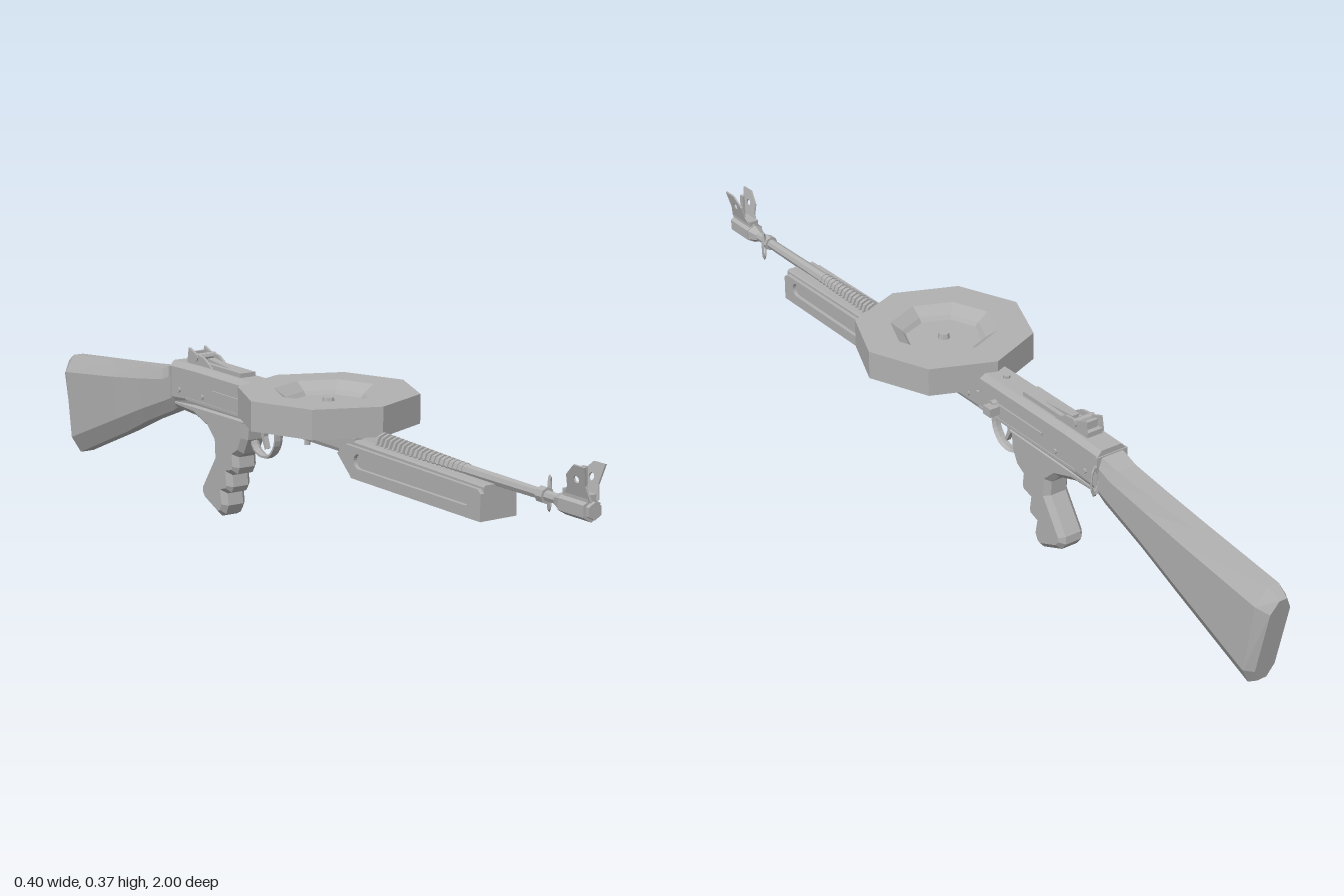
import * as THREE from 'three';

export function createModel() {
  const root = new THREE.Group();
  const grey = new THREE.MeshStandardMaterial({ color: 0xb0b0b0 });
  grey.name = 'plainGrey';

  // Adds a faceted mesh
  function add(name, geo, x = 0, y = 0, z = 0) {
    const g = geo.index ? geo.toNonIndexed() : geo;
    g.computeVertexNormals();
    const m = new THREE.Mesh(g, grey);
    m.name = name;
    m.position.set(x, y, z);
    root.add(m);
    return m;
  }
  const box = (name, w, h, d, x, y, z) => add(name, new THREE.BoxGeometry(w, h, d), x, y, z);
  const rodZ = (name, r0, r1, z0, z1, y, n = 8, x = 0) =>
    add(name, new THREE.CylinderGeometry(r1, r0, z1 - z0, n).rotateX(Math.PI / 2), x, y, (z0 + z1) / 2);
  const rodX = (name, r, w, x, y, z, n = 8) =>
    add(name, new THREE.CylinderGeometry(r, r, w, n).rotateZ(Math.PI / 2), x, y, z);

  // Octagonal sections front to back: [zTop, zBottom, yTop, yBottom, halfWidth, topHalf, bottomHalf, chamfer]
  function loft(name, sections) {
    const rings = sections.map(([zt, zb, yt, yb, w, wt, wb, c]) => {
      const right = [[wb, yb], [w, yb + c], [w, yt - c], [wt, yt]];
      const left = right.map(([x, y]) => [-x, y]).reverse();
      return [...right, ...left].map(([x, y]) => [x, y, zb + (zt - zb) * (y - yb) / (yt - yb)]);
    });
    const pos = [];
    const tri = (...p) => p.forEach(v => pos.push(...v));
    const last = rings[rings.length - 1];
    for (let i = 0; i < rings.length - 1; i++) {
      for (let j = 0; j < 8; j++) {
        const k = (j + 1) % 8, A = rings[i], B = rings[i + 1];
        tri(A[j], B[j], B[k]);
        tri(A[j], B[k], A[k]);
      }
    }
    for (let j = 1; j < 7; j++) {
      tri(rings[0][0], rings[0][j], rings[0][j + 1]);
      tri(last[0], last[j + 1], last[j]);
    }
    const g = new THREE.BufferGeometry();
    g.setAttribute('position', new THREE.Float32BufferAttribute(pos, 3));
    return add(name, g);
  }

  // Side profile in (z, y), extruded across x
  function profile(name, pts, width, x = 0, bevel = 0, hole = null) {
    const s = new THREE.Shape(pts.map(p => new THREE.Vector2(...p)));
    if (hole) s.holes.push(hole);
    const depth = width - 2 * bevel;
    const g = new THREE.ExtrudeGeometry(s, {
      depth, bevelEnabled: bevel > 0, bevelSize: bevel, bevelOffset: -bevel,
      bevelThickness: bevel, bevelSegments: 1, curveSegments: 5,
    });
    g.translate(0, 0, -depth / 2).rotateY(-Math.PI / 2);
    return add(name, g, x);
  }
  function slot(z0, z1, y, r) {
    const p = new THREE.Path();
    p.absarc(z1 - r, y, r, -Math.PI / 2, Math.PI / 2, false);
    p.absarc(z0 + r, y, r, Math.PI / 2, Math.PI * 1.5, false);
    p.closePath();
    return p;
  }

  // Stock
  loft('stock', [
    [-0.465, -0.44, 0.322, 0.235, 0.036, 0.028, 0.022, 0.02],
    [-0.52, -0.48, 0.308, 0.212, 0.036, 0.024, 0.022, 0.025],
    [-0.62, -0.60, 0.297, 0.165, 0.036, 0.021, 0.020, 0.03],
    [-0.75, -0.71, 0.285, 0.115, 0.038, 0.017, 0.018, 0.035],
    [-0.97, -0.935, 0.264, 0.022, 0.040, 0.013, 0.018, 0.04],
    [-1.0, -0.955, 0.245, 0.034, 0.026, 0.010, 0.012, 0.03],
  ]);

  // Receiver and the bed beneath the drum
  loft('receiver', [
    [-0.06, -0.06, 0.338, 0.25, 0.037, 0.026, 0.034, 0.012],
    [-0.36, -0.36, 0.338, 0.247, 0.037, 0.026, 0.034, 0.012],
    [-0.47, -0.47, 0.335, 0.238, 0.037, 0.026, 0.03, 0.012],
  ]);
  loft('receiverFront', [
    [0.27, 0.27, 0.296, 0.25, 0.037, 0.028, 0.034, 0.008],
    [-0.07, -0.07, 0.298, 0.25, 0.037, 0.03, 0.034, 0.008],
  ]);
  box('receiverEndBand', 0.08, 0.075, 0.008, 0, 0.285, -0.469);
  for (const s of [1, -1]) {
    box('sideRail', 0.006, 0.008, 0.17, s * 0.038, 0.291, -0.2);
    box('lowerSeam', 0.004, 0.006, 0.34, s * 0.037, 0.257, -0.23);
    for (const z of [-0.02, -0.33, -0.43]) rodX('sidePin', 0.006, 0.006, s * 0.038, 0.272, z);
  }
  rodX('boltPivot', 0.011, 0.02, 0.04, 0.29, -0.12);
  box('boltHandle', 0.026, 0.02, 0.026, 0.054, 0.284, -0.128);
  add('bottomPin', new THREE.CylinderGeometry(0.007, 0.007, 0.025, 8), 0, 0.24, 0.042);
  rodX('drumCatch', 0.008, 0.03, -0.055, 0.293, -0.01);

  // Pistol grip with finger grooves
  profile('grip', [
    [-0.15, 0.25], [-0.16, 0.235], [-0.165, 0.2], [-0.183, 0.165], [-0.203, 0.153], [-0.2, 0.128],
    [-0.208, 0.112], [-0.23, 0.106], [-0.226, 0.078], [-0.234, 0.064], [-0.252, 0.058], [-0.247, 0.03],
    [-0.258, 0.008], [-0.275, 0.0], [-0.338, 0.026], [-0.352, 0.044], [-0.35, 0.062], [-0.296, 0.14],
    [-0.298, 0.175], [-0.325, 0.2], [-0.38, 0.218], [-0.47, 0.222], [-0.47, 0.25],
  ], 0.064, 0, 0.012);

  // Trigger and its guard
  const guardPath = new THREE.CatmullRomCurve3(
    [[0.25, -0.072], [0.205, -0.075], [0.175, -0.098], [0.168, -0.13], [0.18, -0.16], [0.198, -0.17]]
      .map(([y, z]) => new THREE.Vector3(0, y, z)));
  add('triggerGuard', new THREE.TubeGeometry(guardPath, 14, 0.004, 5).scale(3, 1, 1));
  profile('trigger', [[-0.115, 0.25], [-0.122, 0.215], [-0.112, 0.188], [-0.118, 0.186],
    [-0.132, 0.212], [-0.135, 0.25]], 0.012);

  // Handguard with a long slot on each side
  loft('handguardCore', [
    [0.71, 0.71, 0.278, 0.207, 0.037, 0.034, 0.034, 0.004],
    [0.27, 0.27, 0.285, 0.207, 0.037, 0.034, 0.034, 0.004],
    [0.215, 0.215, 0.285, 0.25, 0.037, 0.034, 0.034, 0.004],
  ]);
  for (const s of [1, -1]) {
    profile('handguardSide', [[0.71, 0.207], [0.71, 0.262], [0.7, 0.27], [0.25, 0.275],
      [0.22, 0.25], [0.27, 0.207]], 0.012, s * 0.04, 0, slot(0.28, 0.675, 0.245, 0.016));
  }
  box('handguardBase', 0.092, 0.008, 0.44, 0, 0.209, 0.49);

  // Barrel with tapering cooling fins
  rodZ('barrel', 0.017, 0.011, 0.25, 0.92, 0.284);
  for (let i = 0; i < 20; i++) {
    const z = 0.325 + i * 0.0145, r = 0.025 - i * 0.0005;
    rodZ('coolingFin', r, r, z, z + 0.006, 0.284);
  }

  // Muzzle
  rodZ('muzzleCollar', 0.012, 0.022, 0.89, 0.915, 0.283, 6);
  rodZ('muzzleBlock', 0.024, 0.024, 0.915, 0.99, 0.283, 6);
  rodZ('muzzleTip', 0.018, 0.018, 0.98, 1.0, 0.283, 6);
  rodZ('bore', 0.007, 0.007, 0.99, 1.0005, 0.283, 8);

  // Front sight: a post between two splayed wings
  box('frontSightBase', 0.024, 0.016, 0.075, 0, 0.306, 0.955);
  for (const s of [1, -1]) {
    const hole = new THREE.Path();
    hole.absarc(0.967, 0.04, 0.008, 0, Math.PI * 2, true);
    const wing = profile('frontSightWing', [[0.92, 0], [0.998, 0], [0.99, 0.03], [0.998, 0.07],
      [0.965, 0.07], [0.938, 0.045], [0.935, 0.02]], 0.004, s * 0.009, 0, hole);
    wing.position.y = 0.303;
    wing.rotation.z = -s * 0.24;
  }
  box('frontSightPost', 0.006, 0.058, 0.012, 0, 0.336, 0.967);

  // Sling loops
  rodZ('slingCollar', 0.017, 0.017, 0.84, 0.86, 0.284);
  add('frontSlingLoop', new THREE.TorusGeometry(0.017, 0.003, 5, 12).scale(0.45, 1.9, 1)
    .rotateY(0.6), 0.019, 0.283, 0.843);
  add('rearSlingLoop', new THREE.TorusGeometry(0.012, 0.003, 5, 10).scale(0.8, 2.6, 1), 0.046, 0.272, -0.474);

  // Drum magazine with a stepped recess
  const drum = [[0, 0.298], [0.2, 0.298], [0.2, 0.363], [0.12, 0.363], [0.094, 0.345], [0.086, 0.336], [0, 0.336]];
  add('drum', new THREE.LatheGeometry(drum.map(p => new THREE.Vector2(...p)), 8), 0, 0, 0.122);
  add('drumKnob', new THREE.CylinderGeometry(0.012, 0.014, 0.012, 8), 0, 0.342, 0.122);

  // Rear sight
  box('rearSightBase', 0.04, 0.012, 0.22, 0, 0.342, -0.305);
  for (const s of [1, -1]) {
    profile('rearSightWing', [[-0.31, 0.34], [-0.345, 0.36], [-0.385, 0.365], [-0.408, 0.374],
      [-0.415, 0.34]], 0.006, s * 0.021);
  }
  profile('rearSightLeaf', [[-0.22, 0.345], [-0.35, 0.356], [-0.35, 0.345]], 0.018);
  box('rearSightNotch', 0.03, 0.02, 0.008, 0, 0.356, -0.4);
  rodX('rearSightSlider', 0.009, 0.054, 0, 0.356, -0.375);
  add('topPin', new THREE.CylinderGeometry(0.008, 0.008, 0.008, 8), 0, 0.34, -0.11);

  return root;
}
